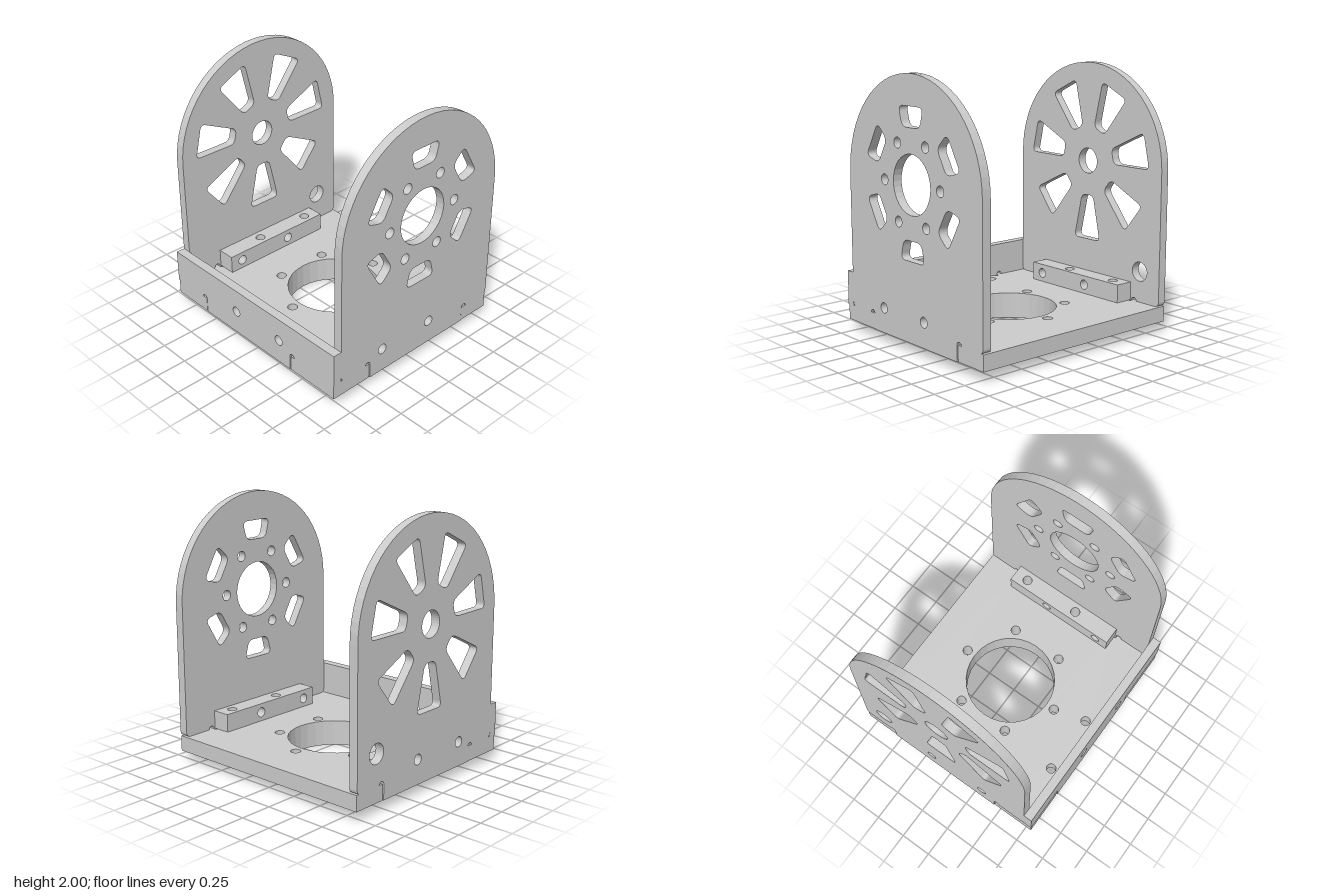
import * as THREE from 'three';

const PI = Math.PI;
const CZ = -0.036; // z of the turning axis and of the base bore
const CY = 1.23;   // height of the plate bores
const mat = new THREE.MeshStandardMaterial({ color: 0xcccccc });

const circle = (x, y, r) => new THREE.Path().absarc(x, y, r, 0, PI * 2, false);

function addMesh(parent, name, geometry) {
  const m = new THREE.Mesh(geometry, mat);
  m.name = name;
  parent.add(m);
  return m;
}

const extrude = (shape, depth) =>
  new THREE.ExtrudeGeometry(shape, { depth, bevelEnabled: false, curveSegments: 16 });

// Shape drawn in (-z, y), thickness running from x to x + depth
const alongX = (shape, depth, x) => extrude(shape, depth).rotateY(PI / 2).translate(x, 0, 0);
// Shape drawn in (x, z), thickness running from top downwards
const alongY = (shape, depth, top) => extrude(shape, depth).rotateX(PI / 2).translate(0, top, 0);

// Slot between two radii with radial sides and rounded corners
function radialSlot(cx, cy, angle, half, r0, r1, round) {
  const at = (r, a) => new THREE.Vector2(cx + r * Math.cos(a), cy + r * Math.sin(a));
  const c = [at(r0, angle - half), at(r1, angle - half), at(r1, angle + half), at(r0, angle + half)];
  const path = new THREE.Path();
  c.forEach((p, i) => {
    const prev = c[(i + 3) % 4], next = c[(i + 1) % 4];
    const a = p.clone().lerp(prev, Math.min(0.45, round / p.distanceTo(prev)));
    const b = p.clone().lerp(next, Math.min(0.45, round / p.distanceTo(next)));
    if (i === 0) path.moveTo(a.x, a.y); else path.lineTo(a.x, a.y);
    path.quadraticCurveTo(p.x, p.y, b.x, b.y);
  });
  path.closePath();
  return path;
}

// Lower edge with a middle tab from a to b and relieved inner corners
function tabEdge(s, a, b) {
  s.lineTo(a - 0.05, 0.2);
  s.absarc(a - 0.025, 0.2, 0.025, PI, 0, true);
  s.lineTo(a, 0.08);
  s.lineTo(b, 0.08);
  s.lineTo(b, 0.2);
  s.absarc(b + 0.025, 0.2, 0.025, PI, 0, true);
}

// Round-topped side plate with its two block screw holes
function plateShape() {
  const s = new THREE.Shape();
  s.moveTo(-0.695, 0.2);
  tabEdge(s, -0.45, 0.53);
  s.lineTo(0.77, 0.2);
  s.quadraticCurveTo(0.808, 0.2, 0.808, 0.24);
  s.lineTo(0.808, CY);
  s.absarc(-CZ, CY, 0.772, 0, PI, false);
  s.lineTo(-0.736, 0.24);
  s.quadraticCurveTo(-0.736, 0.2, -0.695, 0.2);
  for (const z of [0.33, -0.155]) s.holes.push(circle(-z, 0.27, 0.04));
  return s;
}

export function createModel() {
  const group = new THREE.Group();

  // Left plate: wide bore, ring of screw holes, six short slots
  const left = plateShape();
  left.holes.push(circle(-CZ, CY, 0.217));
  for (let i = 0; i < 6; i++) {
    const a = i * PI / 3;
    left.holes.push(circle(-CZ + 0.325 * Math.cos(a), CY + 0.325 * Math.sin(a), 0.04));
    left.holes.push(radialSlot(-CZ, CY, a + PI / 6, 0.25, 0.412, 0.565, 0.05));
  }
  addMesh(group, 'leftPlate', alongX(left, 0.07, 0.82));

  // Right plate: small bore, seven long wedge slots, cable hole at the back
  const right = plateShape();
  right.holes.push(circle(-CZ, CY, 0.1));
  for (let i = 0; i < 7; i++)
    right.holes.push(radialSlot(-CZ, CY, -PI / 2 + i * PI * 2 / 7, 0.218, 0.28, 0.645, 0.045));
  right.holes.push(circle(0.61, 0.44, 0.075));
  addMesh(group, 'rightPlate', alongX(right, 0.07, -0.89));

  // Front wall
  const wall = new THREE.Shape();
  wall.moveTo(-0.89, 0.2);
  tabEdge(wall, -0.53, 0.43);
  wall.lineTo(0.89, 0.2);
  wall.lineTo(0.89, 0.46);
  wall.lineTo(-0.89, 0.46);
  wall.closePath();
  for (const x of [-0.17, 0.31]) wall.holes.push(circle(x, 0.27, 0.04));
  addMesh(group, 'frontWall', extrude(wall, 0.07).translate(0, 0, 0.736));

  // Base plate with notches for the wall and plate tabs
  const base = new THREE.Shape();
  base.moveTo(-0.885, -0.808);
  base.lineTo(0.885, -0.808);
  base.lineTo(0.885, -0.537);
  base.lineTo(0.82, -0.537);
  base.absarc(0.82, -0.512, 0.025, -PI / 2, -PI * 1.5, true);
  base.absarc(0.82, 0.432, 0.025, -PI / 2, -PI * 1.5, true);
  base.lineTo(0.885, 0.457);
  base.lineTo(0.885, 0.803);
  base.lineTo(0.438, 0.803);
  base.lineTo(0.438, 0.736);
  base.absarc(0.413, 0.736, 0.025, 0, -PI, true);
  base.absarc(-0.513, 0.736, 0.025, 0, -PI, true);
  base.lineTo(-0.538, 0.803);
  base.lineTo(-0.885, 0.803);
  base.lineTo(-0.885, 0.457);
  base.lineTo(-0.82, 0.457);
  base.absarc(-0.82, 0.432, 0.025, PI / 2, -PI / 2, true);
  base.absarc(-0.82, -0.512, 0.025, PI / 2, -PI / 2, true);
  base.lineTo(-0.885, -0.537);
  base.closePath();

  // Flange ring under the base shares the bore and screw circle
  const ring = new THREE.Shape().absarc(0, CZ, 0.575, 0, PI * 2, false);
  for (const s of [base, ring]) {
    s.holes.push(circle(0, CZ, 0.36));
    for (let i = 0; i < 6; i++) {
      const a = PI / 6 + i * PI / 3;
      s.holes.push(circle(0.433 * Math.cos(a), CZ + 0.433 * Math.sin(a), 0.038));
    }
  }
  for (const x of [-0.41, 0.07]) base.holes.push(circle(x, 0.66, 0.038));
  for (const x of [-0.747, 0.747])
    for (const z of [-0.4, 0.08]) base.holes.push(circle(x, z, 0.038));
  addMesh(group, 'basePlate', alongY(base, 0.12, 0.2));
  addMesh(group, 'bottomFlange', alongY(ring, 0.08, 0.08));

  // Mounting blocks: four sections, drilled alternately down and sideways
  const cuts = [-0.52, -0.28, -0.035, 0.2, 0.44];
  const drill = [-0.4, -0.155, 0.08, 0.33];
  const rect = (x0, y0, x1, y1) => new THREE.Shape(
    [[x0, y0], [x1, y0], [x1, y1], [x0, y1]].map(p => new THREE.Vector2(...p)));
  for (const [side, x0] of [['left', 0.675], ['right', -0.82]]) {
    const block = new THREE.Group();
    block.name = side + 'MountingBlock';
    drill.forEach((z, i) => {
      const down = i % 2 === 0;
      const s = down
        ? rect(x0, cuts[i], x0 + 0.145, cuts[i + 1])
        : rect(-cuts[i + 1], 0.2, -cuts[i], 0.342);
      s.holes.push(down ? circle(Math.sign(x0) * 0.747, z, 0.038) : circle(-z, 0.27, 0.038));
      addMesh(block, 'blockSection', down ? alongY(s, 0.142, 0.342) : alongX(s, 0.145, x0));
    });
    group.add(block);
  }
  return group;
}
